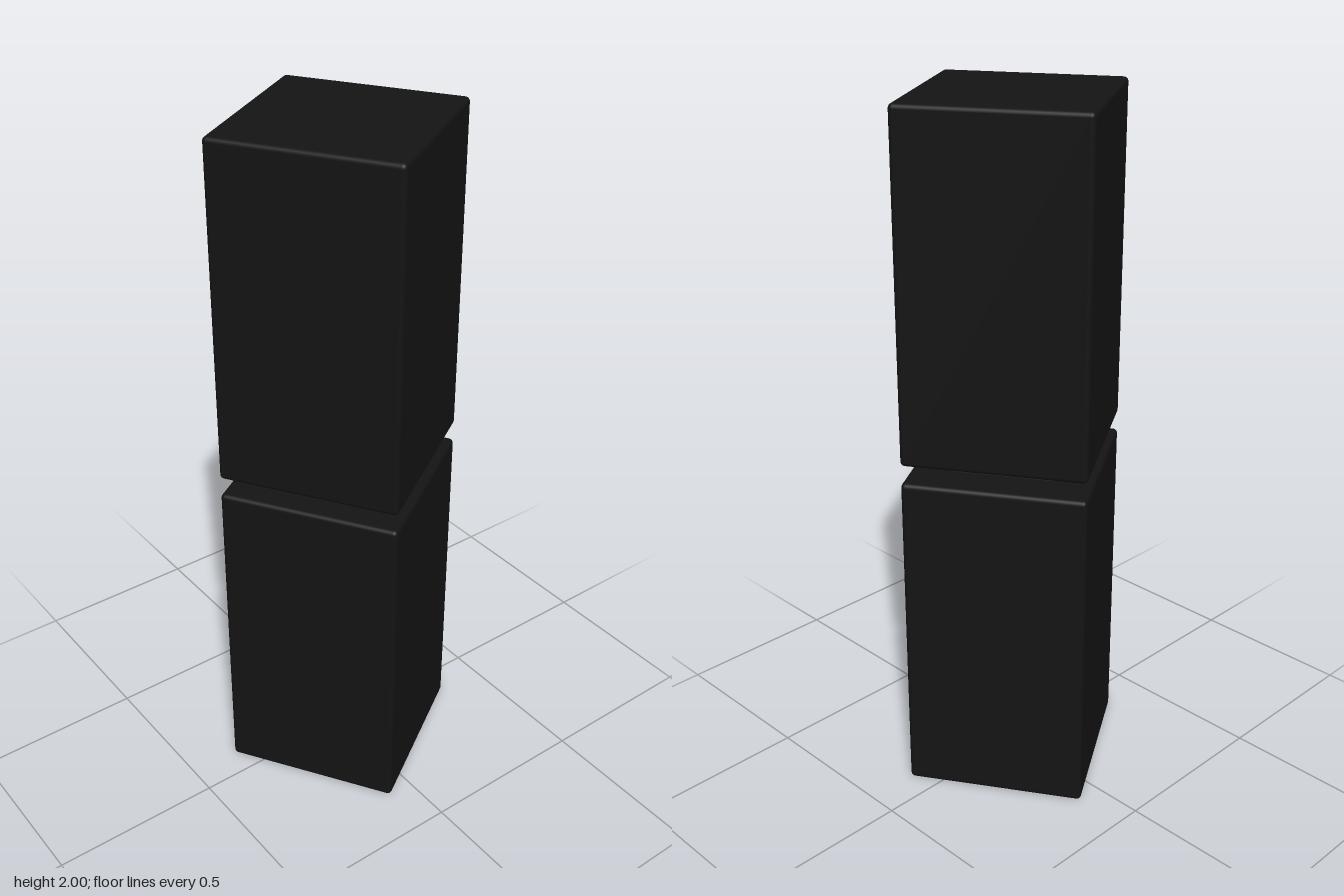
import * as THREE from 'three';
import { RoundedBoxGeometry } from 'three/addons/geometries/RoundedBoxGeometry.js';

const SIDE = 0.517;   // block width and depth
const HEIGHT = 0.974; // block height
const TURN = 0.563;   // turn of the whole stack about y

export function createModel() {
  const model = new THREE.Group();
  model.name = 'stackedBlocks';
  model.rotation.y = TURN;

  const black = new THREE.MeshStandardMaterial({ color: 0x141414 });
  const green = new THREE.MeshStandardMaterial({ color: 0x22301a });

  const add = (name, geometry, material, y) => {
    const mesh = new THREE.Mesh(geometry, material);
    mesh.name = name;
    mesh.position.y = y;
    model.add(mesh);
  };

  // Two equal blocks with softly rounded edges
  const block = new RoundedBoxGeometry(SIDE, HEIGHT, SIDE, 3, 0.013);
  add('lowerBlock', block, black, HEIGHT / 2);
  add('upperBlock', block, black, 2 - HEIGHT / 2);

  // Narrow square connector bridging the gap
  add('connector', new THREE.BoxGeometry(0.29, 0.056, 0.29), green, 1);

  return model;
}
